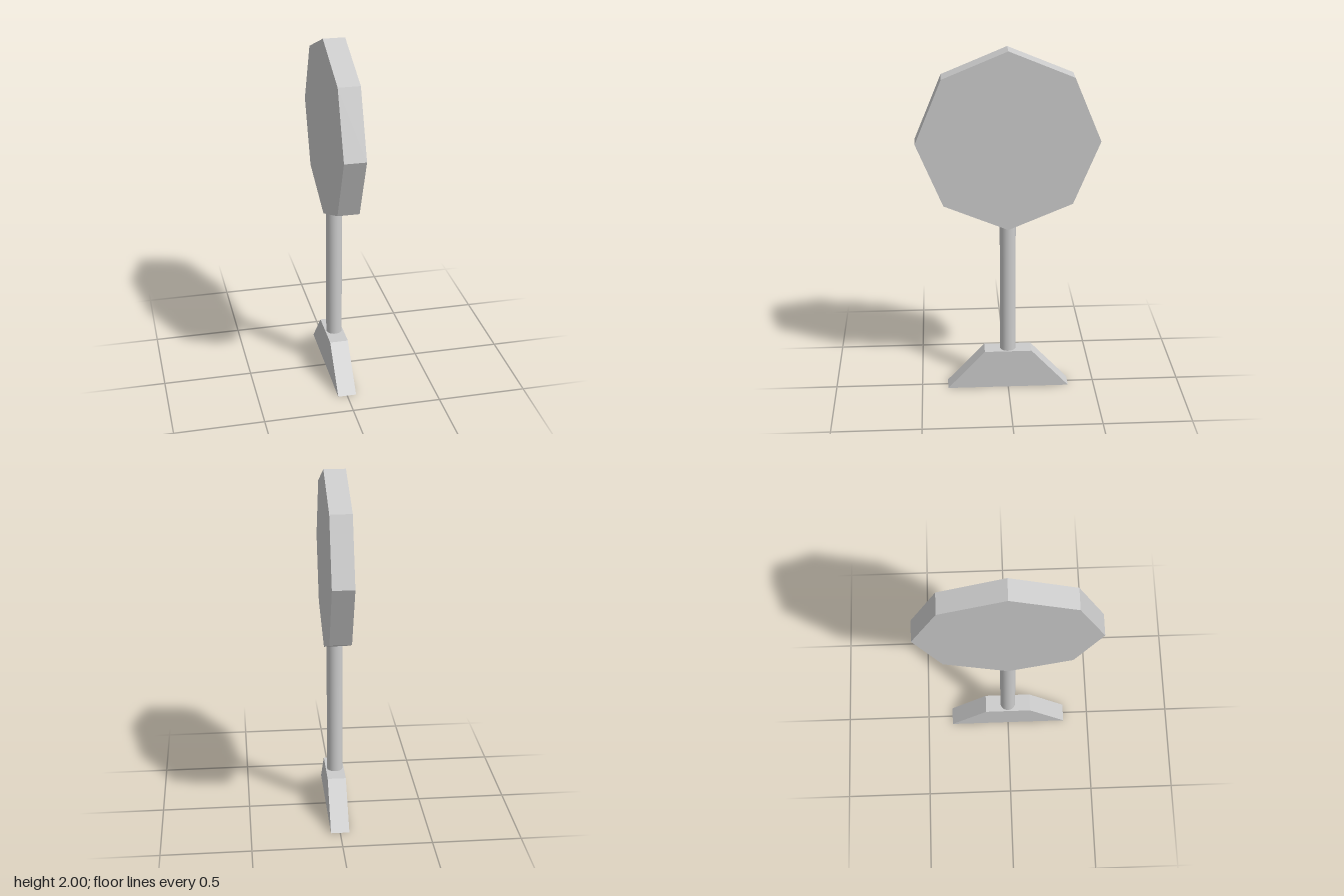
import * as THREE from 'three';

export function createModel() {
  const group = new THREE.Group();
  const flat = new THREE.MeshStandardMaterial({ color: 0xcccccc, flatShading: true });
  const smooth = new THREE.MeshStandardMaterial({ color: 0xcccccc });

  const add = (name, geometry, material, y) => {
    const mesh = new THREE.Mesh(geometry, material);
    mesh.name = name;
    mesh.position.y = y;
    group.add(mesh);
  };

  // Octagonal panel, corner pointing up, faces towards +x and -x
  const panel = new THREE.CylinderGeometry(0.505, 0.505, 0.12, 8).rotateZ(Math.PI / 2);
  add('signPanel', panel, flat, 1.495);

  // Round post, sunk slightly into the panel and the foot
  const bottom = 0.2, top = 1.05;
  add('post', new THREE.CylinderGeometry(0.045, 0.045, top - bottom, 32), smooth, (bottom + top) / 2);

  // Trapezoid foot, extruded across x
  const profile = new THREE.Shape([
    new THREE.Vector2(-0.35, 0),
    new THREE.Vector2(0.35, 0),
    new THREE.Vector2(0.135, 0.23),
    new THREE.Vector2(-0.135, 0.23),
  ]);
  const width = 0.104;
  const foot = new THREE.ExtrudeGeometry(profile, { depth: width, bevelEnabled: false })
    .translate(0, 0, -width / 2)
    .rotateY(Math.PI / 2);
  add('foot', foot, flat, 0);

  return group;
}
